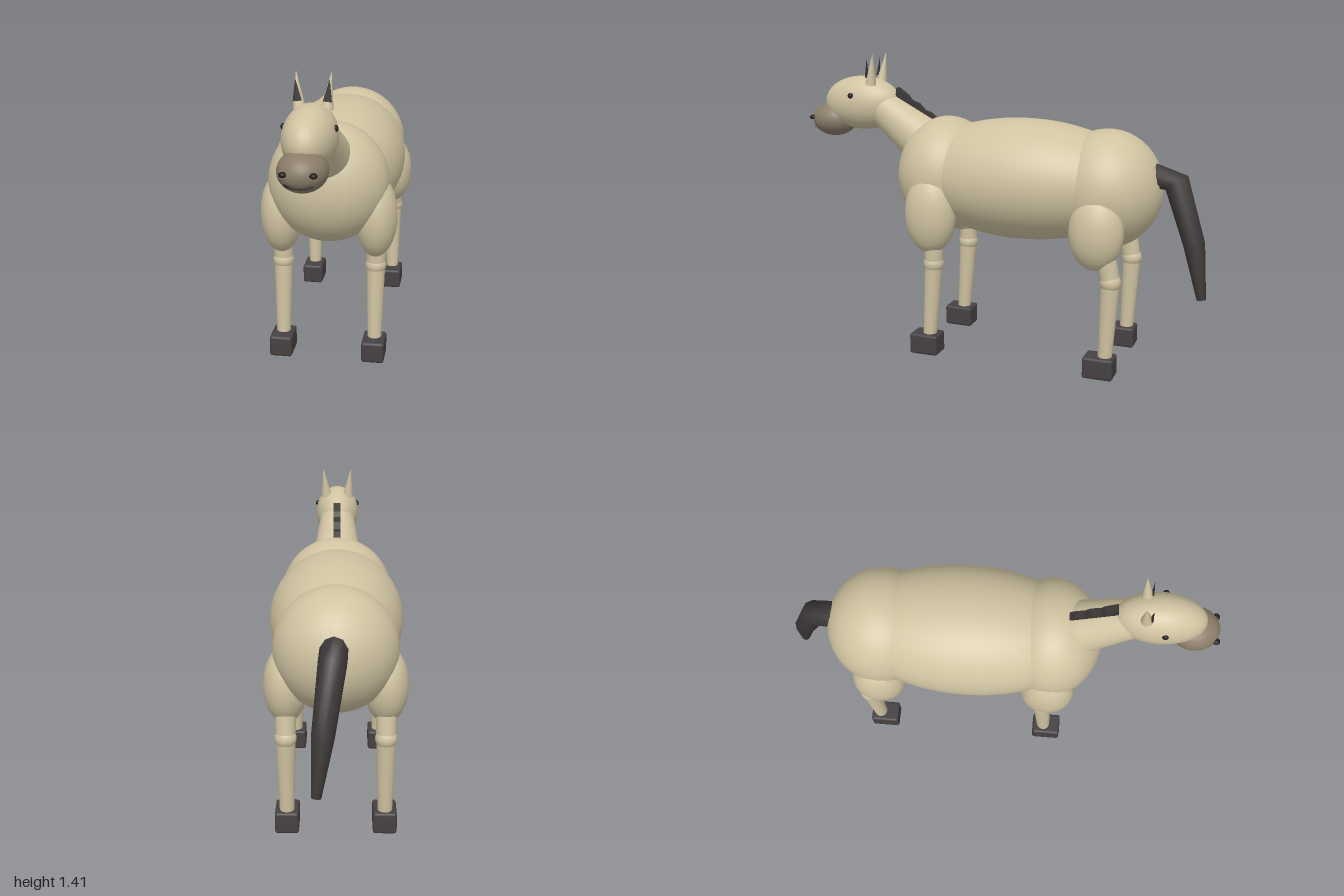
import * as THREE from 'three';
import { RoundedBoxGeometry } from 'three/addons/geometries/RoundedBoxGeometry.js';

const material = (name, color) => Object.assign(new THREE.MeshStandardMaterial({ color }), { name });
const V = (x, y, z) => new THREE.Vector3(x, y, z);

export function createModel() {
  const coat = material('cream coat', 0xd0c3a1);
  const muzzleSkin = material('muzzle brown', 0x8a7c68);
  const hair = material('dark hair', 0x3c3737);
  const hoofHorn = material('hoof horn', 0x464142);
  const black = material('eye black', 0x231f1f);

  const model = new THREE.Group();
  model.name = 'horse';

  const add = (name, geometry, mat, position = V(0, 0, 0)) => {
    const mesh = new THREE.Mesh(geometry, mat);
    mesh.name = name;
    mesh.position.copy(position);
    model.add(mesh);
    return mesh;
  };
  const ellipsoid = (name, mat, center, rx, ry, rz, segments = 32) =>
    add(name, new THREE.SphereGeometry(1, segments, segments * 0.75).scale(rx, ry, rz), mat, center);
  // Tapered round limb between two points
  const limb = (name, mat, from, to, rFrom, rTo, sides = 20) => {
    const dir = to.clone().sub(from);
    const mesh = add(name, new THREE.CylinderGeometry(rTo, rFrom, dir.length(), sides), mat,
      from.clone().add(to).multiplyScalar(0.5));
    mesh.quaternion.setFromUnitVectors(V(0, 1, 0), dir.normalize());
    return mesh;
  };

  // Trunk
  ellipsoid('barrel', coat, V(0, 0.848, -0.12), 0.305, 0.283, 0.58, 36);
  ellipsoid('chest', coat, V(0, 0.848, 0.27), 0.272, 0.275, 0.232);
  ellipsoid('rump', coat, V(0, 0.83, -0.52), 0.27, 0.272, 0.255);

  // Neck and head
  limb('neck', coat, V(0, 0.97, 0.35), V(0, 1.16, 0.62), 0.128, 0.086, 28);
  ellipsoid('head', coat, V(0, 1.17, 0.72), 0.11, 0.13, 0.202);
  ellipsoid('muzzle', muzzleSkin, V(0, 1.082, 0.882), 0.1, 0.083, 0.112);

  // Mouth line lying on the front of the muzzle
  const mouthCurve = new THREE.CatmullRomCurve3([
    V(-0.055, 1.05, 0.967), V(-0.03, 1.044, 0.979), V(0, 1.042, 0.981), V(0.03, 1.044, 0.979), V(0.055, 1.05, 0.967),
  ]);
  add('mouth', new THREE.TubeGeometry(mouthCurve, 16, 0.005, 6), black);

  for (const side of [-1, 1]) {
    const label = side > 0 ? 'left' : 'right';
    ellipsoid(label + 'Nostril', black, V(side * 0.058, 1.092, 0.976), 0.016, 0.011, 0.016, 16);
    ellipsoid(label + 'Eye', black, V(side * 0.103, 1.212, 0.735), 0.011, 0.014, 0.014, 16);

    // Ears with dark inner faces
    limb(label + 'Ear', coat, V(side * 0.055, 1.265, 0.648), V(side * 0.071, 1.41, 0.626), 0.027, 0.001, 16);
    const inner = limb(label + 'InnerEar', hair,
      V(side * 0.06, 1.3, 0.666), V(side * 0.068, 1.385, 0.66), 0.018, 0.001, 12);
    inner.scale.z = 0.3;

    // Front leg
    const x = side * 0.215;
    ellipsoid(label + 'Shoulder', coat, V(x, 0.692, 0.27), 0.096, 0.19, 0.124);
    limb(label + 'FrontUpperLeg', coat, V(x, 0.6, 0.253), V(x, 0.45, 0.256), 0.047, 0.043);
    ellipsoid(label + 'FrontKnee', coat, V(x, 0.452, 0.256), 0.048, 0.046, 0.048, 20);
    limb(label + 'FrontLowerLeg', coat, V(x, 0.45, 0.256), V(x, 0.09, 0.282), 0.043, 0.032);

    // Hind leg
    ellipsoid(label + 'Thigh', coat, V(x, 0.67, -0.527), 0.096, 0.17, 0.124);
    limb(label + 'HindUpperLeg', coat, V(x, 0.62, -0.565), V(x, 0.45, -0.598), 0.047, 0.043);
    ellipsoid(label + 'HindHock', coat, V(x, 0.452, -0.598), 0.048, 0.046, 0.048, 20);
    limb(label + 'HindLowerLeg', coat, V(x, 0.45, -0.598), V(x, 0.09, -0.582), 0.043, 0.032);

    // Hooves
    for (const [end, z] of [['Front', 0.298], ['Hind', -0.558]])
      add(label + end + 'Hoof', new RoundedBoxGeometry(0.105, 0.1, 0.14, 2, 0.012), hoofHorn, V(x, 0.053, z));
  }

  // Mane: thin jagged crest along the neck, profile in (z, y)
  const crest = new THREE.Shape([
    [0.31, 1.06], [0.54, 1.18], [0.53, 1.25], [0.48, 1.215], [0.462, 1.192],
    [0.42, 1.175], [0.392, 1.145], [0.36, 1.135], [0.318, 1.1],
  ].map(([z, y]) => new THREE.Vector2(-z, y)));
  const crestGeometry = new THREE.ExtrudeGeometry(crest, { depth: 0.036, bevelEnabled: false });
  crestGeometry.translate(0, 0, -0.018).rotateY(Math.PI / 2);
  add('mane', crestGeometry, hair);

  // Tail: cylinder whose rings follow a bent, tapering path
  const path = [V(0.005, 0.905, -0.72), V(0.012, 0.88, -0.838), V(0.048, 0.615, -0.932), V(0.075, 0.372, -0.979)];
  const radii = [0.06, 0.06, 0.049, 0.021];
  const tail = new THREE.CylinderGeometry(1, 1, 3, 10, 3);
  const pos = tail.attributes.position;
  const frames = path.map((p, i) => {
    const tangent = path[Math.min(i + 1, 3)].clone().sub(path[Math.max(i - 1, 0)]).normalize();
    const across = V(1, 0, 0).addScaledVector(tangent, -tangent.x).normalize();
    return { across, up: across.clone().cross(tangent.clone().negate()) };
  });
  for (let i = 0; i < pos.count; i++) {
    const ring = Math.round(1.5 - pos.getY(i));
    const { across, up } = frames[ring];
    const p = path[ring].clone()
      .addScaledVector(across, pos.getX(i) * radii[ring])
      .addScaledVector(up, pos.getZ(i) * radii[ring]);
    pos.setXYZ(i, p.x, p.y, p.z);
  }
  tail.computeVertexNormals();
  add('tail', tail, hair);

  return model;
}
